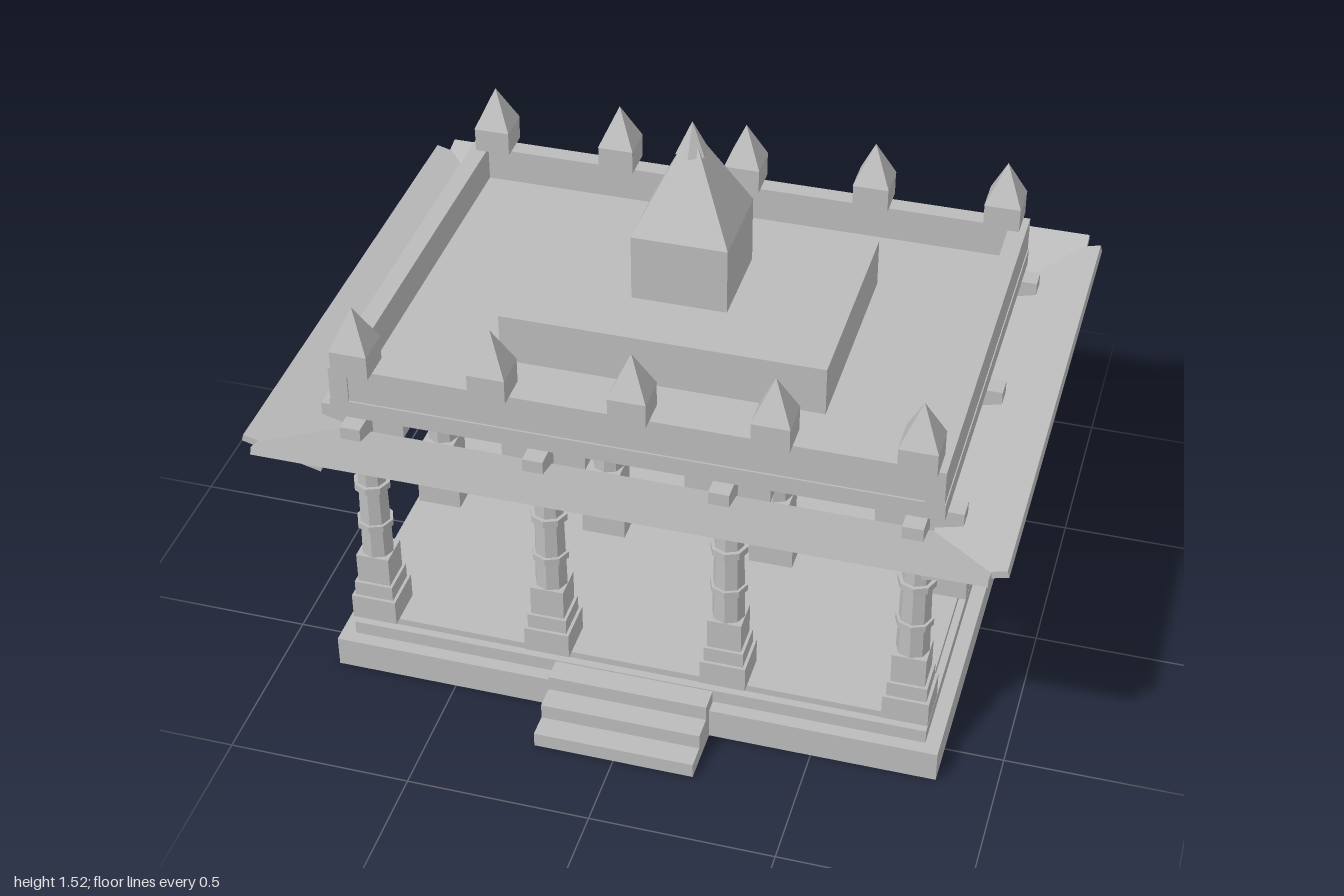
import * as THREE from 'three';

export function createModel() {
  const root = new THREE.Group();
  root.name = 'pavilion';
  const stone = new THREE.MeshStandardMaterial({ color: 0xbbbbbb });
  stone.name = 'stone';

  function add(parent, name, geometry, x = 0, y = 0, z = 0) {
    const mesh = new THREE.Mesh(geometry, stone);
    mesh.name = name;
    mesh.position.set(x, y, z);
    parent.add(mesh);
    return mesh;
  }
  // Box given by its size and the height of its bottom and top
  function block(parent, name, w, d, y0, y1, x = 0, z = 0) {
    return add(parent, name, new THREE.BoxGeometry(w, y1 - y0, d), x, (y0 + y1) / 2, z);
  }
  // Faceted round part between two heights
  function prism(parent, name, rTop, rBottom, y0, y1, sides) {
    const g = new THREE.CylinderGeometry(rTop, rBottom, y1 - y0, sides).toNonIndexed();
    g.computeVertexNormals();
    return add(parent, name, g, 0, (y0 + y1) / 2, 0);
  }
  // Square pyramid with its sides along x and z
  function pyramid(parent, name, half, y0, y1) {
    const g = new THREE.ConeGeometry(half * Math.SQRT2, y1 - y0, 4).toNonIndexed();
    g.rotateY(Math.PI / 4);
    g.computeVertexNormals();
    return add(parent, name, g, 0, (y0 + y1) / 2, 0);
  }

  // Stepped platform
  block(root, 'plinth', 1.68, 1.24, 0, 0.09);
  block(root, 'plinthUpper', 1.6, 1.165, 0.09, 0.13);
  block(root, 'floor', 1.56, 1.12, 0.13, 0.15);

  // Front stairs
  for (let i = 0; i < 3; i++) {
    block(root, 'stair', 0.44, 0.065, 0, 0.043 * (i + 1), 0, 0.75 - i * 0.066);
  }

  // Columns in a grid of four by three
  const capital = new THREE.LatheGeometry([
    [0, 0.705], [0.042, 0.705], [0.05, 0.717], [0.061, 0.73], [0.066, 0.745],
    [0.062, 0.76], [0.055, 0.77], [0.055, 0.78], [0, 0.78],
  ].map(([r, y]) => new THREE.Vector2(r, y)), 16);
  for (const x of [-0.74, -0.245, 0.245, 0.74]) {
    for (const z of [-0.52, 0, 0.52]) {
      const column = new THREE.Group();
      column.name = 'column';
      column.position.set(x, 0, z);
      root.add(column);
      block(column, 'columnBase', 0.125, 0.125, 0.15, 0.225);
      block(column, 'columnBaseMiddle', 0.108, 0.108, 0.225, 0.27);
      block(column, 'columnBaseUpper', 0.092, 0.092, 0.27, 0.36);
      prism(column, 'shaft', 0.038, 0.045, 0.36, 0.715, 8);
      for (const y of [0.46, 0.59]) prism(column, 'shaftRing', 0.051, 0.051, y - 0.01, y + 0.01, 8);
      add(column, 'capital', capital);
      // Crossed brackets carrying the roof
      block(column, 'bracketAcross', 0.225, 0.055, 0.78, 0.85);
      block(column, 'bracketAlong', 0.055, 0.225, 0.78, 0.85);
    }
  }

  // Eaves rising outward on the four sides
  const tilt = Math.PI / 12;
  for (const s of [-1, 1]) {
    add(root, 'eaveLong', new THREE.BoxGeometry(1.91, 0.02, 0.22), 0, 0.813, s * 0.67).rotation.x = -s * tilt;
    add(root, 'eaveShort', new THREE.BoxGeometry(0.22, 0.02, 1.46), s * 0.89, 0.813, 0).rotation.z = s * tilt;
  }

  // Roof slab and parapet
  block(root, 'roofSlab', 1.62, 1.17, 0.85, 0.9);
  for (const s of [-1, 1]) {
    block(root, 'parapetLong', 1.6, 0.05, 0.9, 1.0, 0, s * 0.555);
    block(root, 'parapetShort', 0.05, 1.17, 0.9, 1.0, s * 0.782, 0);
    // Pinnacles along the front and back
    for (let i = -2; i <= 2; i++) {
      const pinnacle = new THREE.Group();
      pinnacle.name = 'pinnacle';
      pinnacle.position.set(i * 0.369, 0, s * 0.56);
      root.add(pinnacle);
      block(pinnacle, 'pinnacleBase', 0.1, 0.1, 1.0, 1.07);
      pyramid(pinnacle, 'pinnacleTip', 0.051, 1.07, 1.185);
    }
  }

  // Central tower
  block(root, 'towerPlatform', 0.88, 0.61, 0.9, 1.04);
  block(root, 'towerBody', 0.26, 0.26, 1.04, 1.23);
  pyramid(root, 'spire', 0.131, 1.23, 1.505);
  const finial = new THREE.ConeGeometry(0.045, 0.09, 6).toNonIndexed();
  finial.computeVertexNormals();
  add(root, 'finial', finial, 0, 1.48, 0);

  return root;
}
